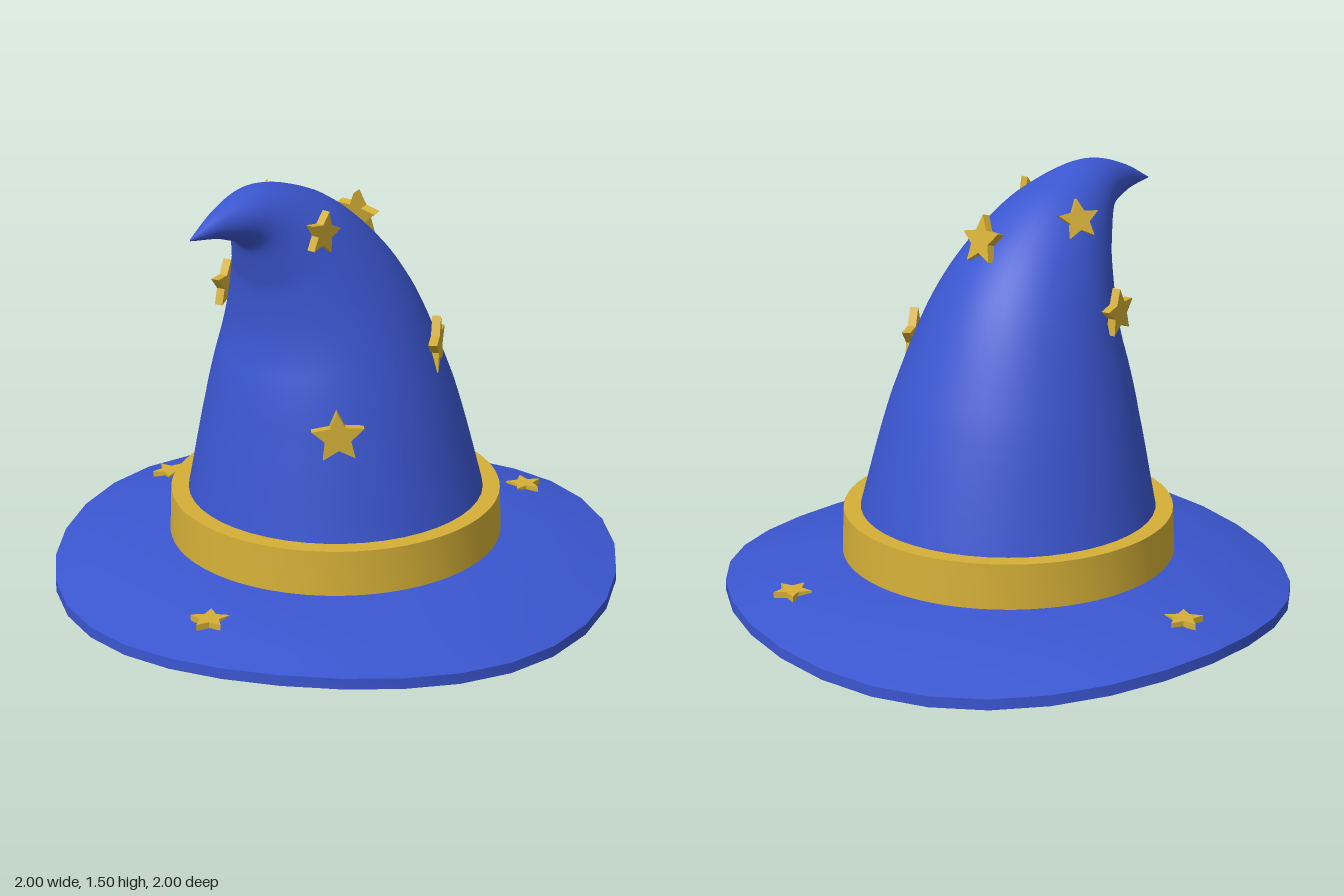
import * as THREE from 'three';
import { toCreasedNormals } from 'three/addons/utils/BufferGeometryUtils.js';

const blue = new THREE.MeshStandardMaterial({ color: 0x3b56d0 });
blue.name = 'blue felt';
const gold = new THREE.MeshStandardMaterial({ color: 0xd4af37 });
gold.name = 'gold trim';

function part(name, geometry, material) {
  const mesh = new THREE.Mesh(geometry, material);
  mesh.name = name;
  return mesh;
}

const pts = list => list.map(([x, y]) => new THREE.Vector2(x, y));

// Brim: a thin domed disc whose edge rises and falls three times
function brimGeometry() {
  const g = new THREE.LatheGeometry(pts([
    [0.5, 0.135], [0.6, 0.12], [0.76, 0.097], [0.88, 0.067], [1, 0.03],
    [1, 0.068], [0.88, 0.105], [0.76, 0.135], [0.6, 0.158], [0.5, 0.17],
  ]), 32);
  const p = g.attributes.position;
  for (let i = 0; i < p.count; i++) {
    const x = p.getX(i), z = p.getZ(i);
    const reach = Math.max(0, (Math.hypot(x, z) - 0.5) / 0.5);
    p.setY(i, p.getY(i) + 0.025 * reach * Math.cos(3 * Math.atan2(x, z)));
  }
  return toCreasedNormals(g, 0.6);
}

// Crown: circles swept along a spine that curls over to the front right
function crownGeometry() {
  // each point holds: distance along the lean, height, radius
  const spine = new THREE.CatmullRomCurve3([
    [0, 0.14, 0.565], [0.005, 0.33, 0.52], [0.035, 0.7, 0.433], [0.085, 0.98, 0.345],
    [0.165, 1.165, 0.268], [0.265, 1.3, 0.195], [0.4, 1.4, 0.113],
    [0.55, 1.415, 0.055], [0.703, 1.393, 0.002],
  ].map(a => new THREE.Vector3(...a)));
  const lean = new THREE.Vector3(-0.51, 0, 0.86);
  const up = new THREE.Vector3(0, 1, 0);
  const side = new THREE.Vector3().crossVectors(up, lean);
  const rings = 56, sides = 48, positions = [], index = [];
  for (let i = 0; i <= rings; i++) {
    const c = spine.getPoint(i / rings);
    const t = spine.getTangent(i / rings);
    const len = Math.hypot(t.x, t.y);
    const normal = lean.clone().multiplyScalar(t.y / len).addScaledVector(up, -t.x / len);
    for (let j = 0; j < sides; j++) {
      const a = (j / sides) * Math.PI * 2;
      const v = lean.clone().multiplyScalar(c.x).addScaledVector(up, c.y)
        .addScaledVector(normal, c.z * Math.cos(a))
        .addScaledVector(side, c.z * Math.sin(a));
      positions.push(v.x, v.y, v.z);
      if (i < rings) {
        const k = (j + 1) % sides, r0 = i * sides, r1 = r0 + sides;
        index.push(r0 + j, r0 + k, r1 + j, r0 + k, r1 + k, r1 + j);
      }
    }
  }
  const g = new THREE.BufferGeometry();
  g.setAttribute('position', new THREE.Float32BufferAttribute(positions, 3));
  g.setIndex(index);
  g.computeVertexNormals();
  return g;
}

// Five-pointed star plate, centred on its own thickness
function starGeometry(radius, depth) {
  const outline = [];
  for (let i = 0; i < 10; i++) {
    const r = i % 2 ? radius * 0.48 : radius;
    const a = Math.PI / 2 + (i * Math.PI) / 5;
    outline.push([r * Math.cos(a), r * Math.sin(a)]);
  }
  const g = new THREE.ExtrudeGeometry(new THREE.Shape(pts(outline)), { depth, bevelEnabled: false });
  return g.translate(0, 0, -depth / 2);
}

function star(name, [x, y, z], [nx, ny, nz], radius, spin, depth = 0.03) {
  const mesh = part(name, starGeometry(radius, depth), gold);
  mesh.position.set(x, y, z);
  mesh.lookAt(x + nx, y + ny, z + nz);
  mesh.rotateZ(spin);
  return mesh;
}

export function createModel() {
  const hat = new THREE.Group();
  hat.name = 'pointedHat';
  hat.add(part('brim', brimGeometry(), blue));
  hat.add(part('crown', crownGeometry(), blue));

  // Closed underside of the crown
  const base = part('crownBase', new THREE.CircleGeometry(0.52, 48), blue);
  base.rotation.x = Math.PI / 2;
  base.position.y = 0.133;
  hat.add(base);

  // Band around the foot of the crown
  const band = new THREE.LatheGeometry(pts([
    [0.51, 0.175], [0.587, 0.175], [0.58, 0.333], [0.51, 0.333], [0.51, 0.175],
  ]), 64);
  hat.add(part('band', toCreasedNormals(band, 0.6), gold));

  // Stars on the crown: position, facing, radius, spin
  [
    [[0.09, 0.695, 0.455], [0.25, 0, 0.97], 0.092, 0.05],
    [[0.36, 0.9, 0.065], [1, 0, 0], 0.102, 0.05],
    [[-0.38, 1.055, 0.01], [-0.95, 0, -0.3], 0.085, 0.1],
    [[0.02, 1.36, 0.35], [0.86, 0, 0.51], 0.074, -0.25],
    [[0.065, 1.3, -0.09], [0.5, 0.25, -0.8], 0.088, 0.1],
    [[-0.24, 1.365, 0.02], [-0.44, 0.25, -0.8], 0.072, 0.1],
  ].forEach(s => hat.add(star('crownStar', ...s)));

  // Stars lying on the brim
  [
    [[-0.285, 0.135, 0.75], 0.15],
    [[0.62, 0.14, -0.53], 0.35],
    [[-0.71, 0.138, -0.42], -0.45],
  ].forEach(([p, spin]) => hat.add(star('brimStar', p, [0, 1, 0], 0.068, spin, 0.022)));

  return hat;
}
